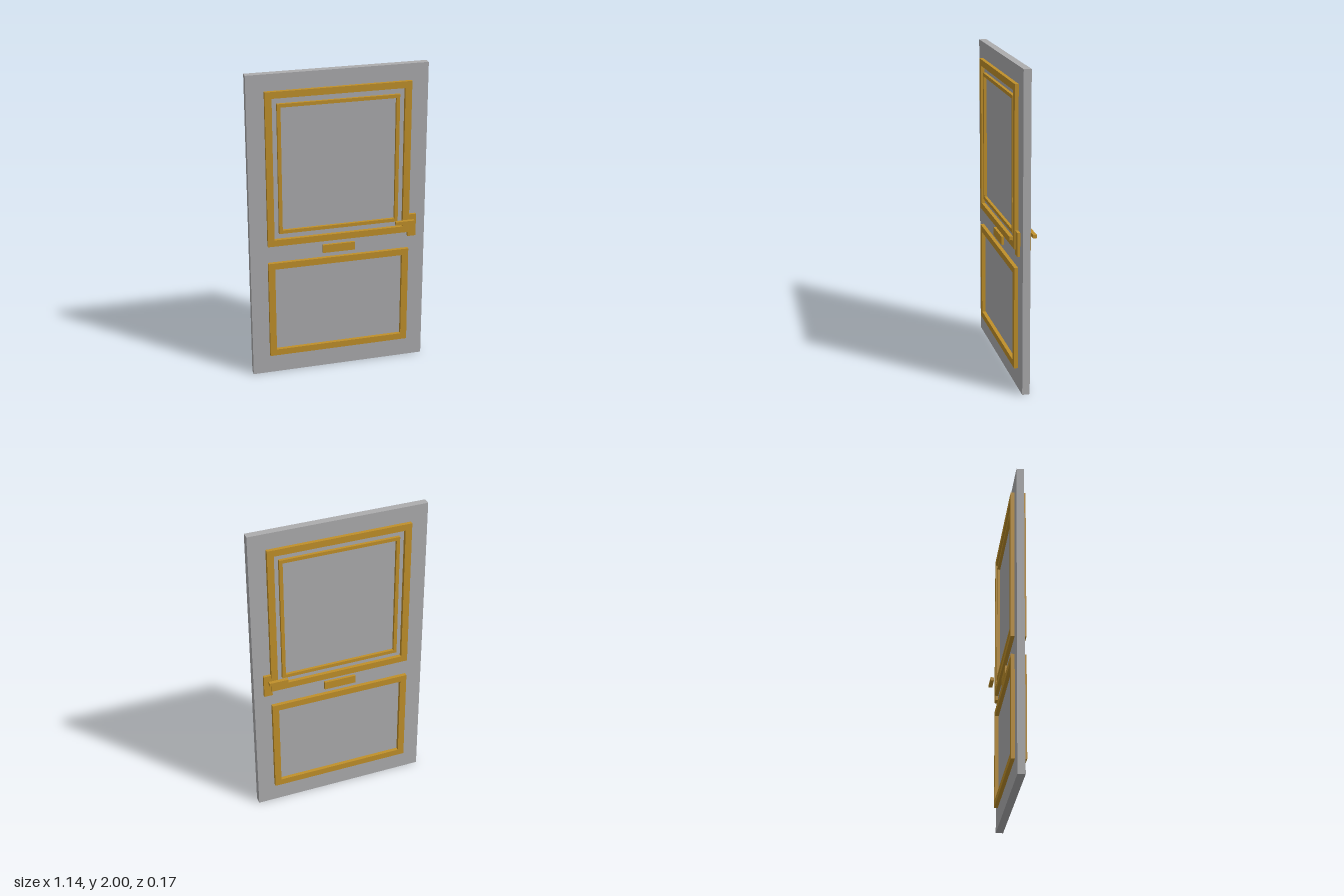
import * as THREE from 'three';

export function createModel() {
  const door = new THREE.Group();
  door.name = 'door';

  const grey = new THREE.MeshStandardMaterial({ color: 0xacacae });
  grey.name = 'grey paint';
  const brass = new THREE.MeshStandardMaterial({ color: 0xc0902a });
  brass.name = 'brass';

  const HALF = 0.0235; // half the thickness of the slab

  const add = (name, geometry, material) => {
    const mesh = new THREE.Mesh(geometry, material);
    mesh.name = name;
    door.add(mesh);
    return mesh;
  };

  // Box spanning the given limits
  const box = (name, x0, x1, y0, y1, z0, z1, material) =>
    add(name, new THREE.BoxGeometry(x1 - x0, y1 - y0, z1 - z0), material)
      .position.set((x0 + x1) / 2, (y0 + y1) / 2, (z0 + z1) / 2);

  // Rectangular moulding with an open middle, on one face of the slab
  const moulding = (name, halfWidth, y0, y1, border, top, side) => {
    const rect = (path, w, a, b) =>
      path.moveTo(-w, a).lineTo(w, a).lineTo(w, b).lineTo(-w, b).closePath();
    const shape = new THREE.Shape();
    rect(shape, halfWidth, y0, y1);
    const hole = new THREE.Path();
    rect(hole, halfWidth - border, y0 + border, y1 - border);
    shape.holes.push(hole);
    const depth = top - HALF;
    const geometry = new THREE.ExtrudeGeometry(shape, { depth, bevelEnabled: false });
    add(name, geometry, brass).position.z = side > 0 ? HALF : -top;
  };

  // Slab
  box('slab', -0.568, 0.568, 0, 2, -HALF, HALF, grey);

  // The same trim and fittings on both faces
  for (const [label, side] of [['front', 1], ['back', -1]]) {
    const fitting = (name, x0, x1, y0, y1, near, far) =>
      box(label + name, x0, x1, y0, y1,
        side > 0 ? near : -far, side > 0 ? far : -near, brass);

    moulding(label + 'UpperFrame', 0.458, 0.898, 1.896, 0.042, 0.047, side);
    moulding(label + 'WindowFrame', 0.384, 0.977, 1.816, 0.022, 0.042, side);
    moulding(label + 'LowerFrame', 0.458, 0.13, 0.782, 0.042, 0.047, side);

    fitting('LetterPlate', -0.104, 0.104, 0.814, 0.867, HALF, 0.04);
    fitting('HandlePlate', 0.452, 0.506, 0.867, 1.016, HALF, 0.041);
    fitting('HandleLever', 0.36, 0.482, 0.967, 0.989, 0.061, 0.084);
  }

  return door;
}
